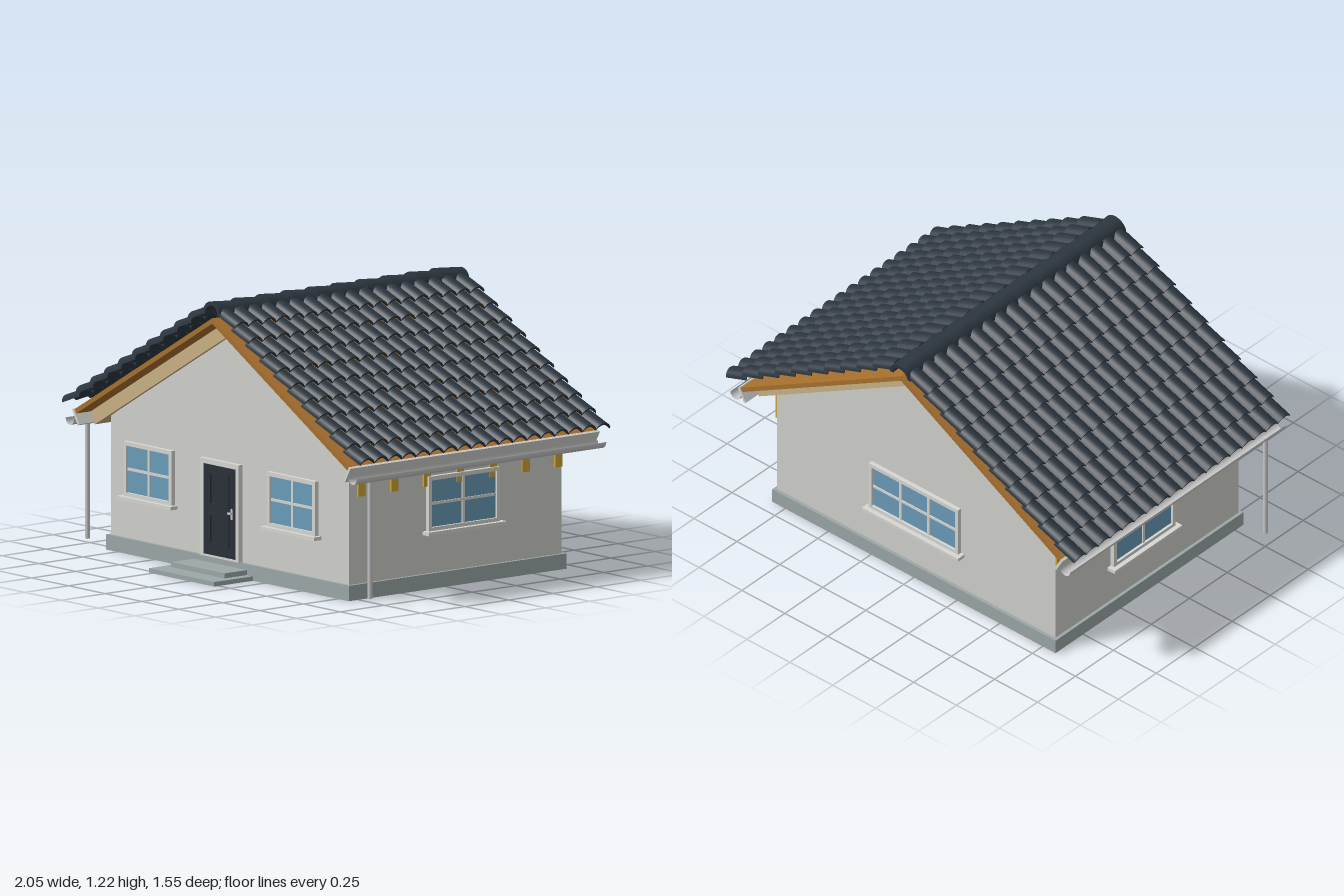
import * as THREE from 'three';
import { toCreasedNormals } from 'three/addons/utils/BufferGeometryUtils.js';

const paint = (name, color, extra = {}) => new THREE.MeshStandardMaterial({ name, color, ...extra });

export function createModel() {
  const mats = {
    wall: paint('plaster', 0xd0d0cb),
    trim: paint('trim', 0xd6d6d2),
    plinth: paint('concrete', 0x9ca7a7),
    tile: paint('roof tile', 0x2b353e),
    deck: paint('brown timber', 0xa8702f),
    board: paint('tan timber', 0xc9b286),
    bracket: paint('yellow timber', 0xcfa535),
    glass: paint('window glass', 0x6a9cb9),
    door: paint('door', 0x2b3139),
    metal: paint('gutter metal', 0xc9c9c9, { side: THREE.DoubleSide }),
  };
  const house = new THREE.Group();
  house.name = 'house';

  const add = (parent, name, geo, mat, x = 0, y = 0, z = 0) => {
    const m = new THREE.Mesh(geo, mat);
    m.name = name;
    m.position.set(x, y, z);
    parent.add(m);
    return m;
  };
  // Box given by its minimum and maximum corners
  const block = (parent, name, mat, x0, x1, y0, y1, z0, z1) =>
    add(parent, name, new THREE.BoxGeometry(x1 - x0, y1 - y0, z1 - z0), mat,
      (x0 + x1) / 2, (y0 + y1) / 2, (z0 + z1) / 2);
  const polygon = (pts) => new THREE.Shape(pts.map(([x, y]) => new THREE.Vector2(x, y)));
  const extrude = (shape, depth) =>
    new THREE.ExtrudeGeometry(shape, { depth, bevelEnabled: false, curveSegments: 16 });

  // Plinth, walls, gable block and entrance steps
  block(house, 'plinth', mats.plinth, -0.825, 0.825, 0, 0.068, -0.683, 0.555);
  block(house, 'walls', mats.wall, -0.81, 0.81, 0.068, 0.614, -0.667, 0.54);
  add(house, 'gables', extrude(polygon([[-0.81, 0.614], [0.81, 0.614], [0, 1.07]]), 1.213),
    mats.wall, 0, 0, -0.67);
  block(house, 'lowerStep', mats.plinth, -0.27, 0.173, 0, 0.02, 0.55, 0.775);
  block(house, 'upperStep', mats.plinth, -0.23, 0.133, 0.02, 0.042, 0.55, 0.682);

  // Frame with a rectangular opening, facing +z
  const frame = (w, h, border, depth, bottom = border) => {
    const [a, b] = [w / 2, h / 2];
    const s = polygon([[-a, -b], [a, -b], [a, b], [-a, b]]);
    s.holes.push(polygon([[border - a, bottom - b], [border - a, b - border],
      [a - border, b - border], [a - border, bottom - b]]));
    return extrude(s, depth);
  };

  // Window with glass, glazing bars and sill
  const addWindow = (name, w, cols, x, z, turn) => {
    const g = new THREE.Group(), h = 0.244;
    g.name = name;
    g.position.set(x, 0.377, z);
    g.rotation.y = turn;
    add(g, 'windowFrame', frame(w, h, 0.018, 0.02), mats.trim);
    block(g, 'glass', mats.glass, -w / 2 + 0.015, w / 2 - 0.015, -0.107, 0.107, 0, 0.008);
    for (let i = 1; i < cols; i++) {
      const bx = (i / cols - 0.5) * (w - 0.03);
      block(g, 'verticalBar', mats.trim, bx - 0.007, bx + 0.007, -0.107, 0.107, 0, 0.014);
    }
    block(g, 'horizontalBar', mats.trim, -w / 2 + 0.015, w / 2 - 0.015, -0.006, 0.006, 0, 0.013);
    block(g, 'sill', mats.trim, -w / 2 - 0.02, w / 2 + 0.02, -0.136, -0.12, 0, 0.042);
    house.add(g);
  };
  addWindow('frontWindowRight', 0.325, 2, -0.538, 0.54, 0);
  addWindow('frontWindowLeft', 0.325, 2, 0.438, 0.54, 0);
  addWindow('sideWindowLeft', 0.405, 2, 0.81, -0.1, Math.PI / 2);
  addWindow('sideWindowRight', 0.405, 2, -0.81, -0.1, -Math.PI / 2);
  addWindow('backWindow', 0.52, 3, 0, -0.667, Math.PI);

  // Door with surround, two raised panels and a handle
  const door = new THREE.Group();
  door.name = 'frontDoor';
  door.position.set(-0.048, 0.284, 0.54);
  add(door, 'doorFrame', frame(0.264, 0.432, 0.022, 0.022, 0.008), mats.trim);
  block(door, 'doorLeaf', mats.door, -0.112, 0.112, -0.21, 0.196, 0, 0.016);
  for (const [y0, y1] of [[-0.165, -0.02], [0.01, 0.165]]) {
    const panel = add(door, 'doorPanel', frame(0.135, y1 - y0, 0.012, 0.006), mats.door, -0.005, (y0 + y1) / 2, 0.015);
    panel.scale.z = 1.2;
  }
  block(door, 'handlePlate', mats.metal, 0.076, 0.088, -0.032, 0.014, 0.016, 0.022);
  block(door, 'handle', mats.metal, 0.062, 0.086, -0.01, -0.002, 0.022, 0.03);
  house.add(door);

  // Roof boards: inverted V with ends cut square to the slope
  const pitch = 0.57, angle = Math.atan(pitch), roofLength = 1.42, roofZ = -0.063;
  const chevron = (top, t, w) => {
    const y = top - pitch * w, ex = w - 0.43 * t, ey = y - 0.755 * t;
    return polygon([[0, top], [-w, y], [-ex, ey], [0, top - t], [ex, ey], [w, y]]);
  };
  add(house, 'roofDeck', extrude(chevron(1.15, 0.024, 0.94), roofLength - 0.01), mats.deck,
    0, 0, roofZ - roofLength / 2 + 0.005);
  add(house, 'roofBoards', extrude(chevron(1.126, 0.07, 0.925), 1.25), mats.board, 0, 0, -0.69);

  // One course of barrel tiles, scalloped along the eave and running down the slope
  const columns = 18, courses = 10, steps = 8, top = [], under = [];
  for (let i = 0; i <= columns * steps; i++) {
    const x = (i / (columns * steps) - 0.5) * roofLength;
    const y = 0.024 * Math.pow(Math.abs(Math.sin(Math.PI * i / steps)), 0.65);
    top.push([x, y + 0.009]);
    under.unshift([x, y]);
  }
  const run = 0.95 / courses;
  const courseGeo = toCreasedNormals(
    extrude(polygon([...top, ...under]), run / Math.cos(angle) + 0.016).rotateY(Math.PI / 2), 0.7);

  // Half ring gutter section
  const gutterGeo = new THREE.CylinderGeometry(0.029, 0.029, roofLength, 16, 1, true, -Math.PI / 2, Math.PI);
  gutterGeo.rotateX(Math.PI / 2);

  // Each roof side: tiles, fascia, gutter and wall brackets
  for (const [name, turn] of [['leftRoofSide', 0], ['rightRoofSide', Math.PI]]) {
    const side = new THREE.Group();
    side.name = name;
    side.position.z = roofZ;
    side.rotation.y = turn;
    for (let i = 0; i < courses; i++) {
      const x = 0.04 + i * run;
      add(side, 'tileCourse', courseGeo, mats.tile, x, 1.19 - pitch * x, 0).rotation.z = -angle + 0.17;
    }
    const fascia = add(side, 'fascia', new THREE.BoxGeometry(0.012, 0.075, roofLength), mats.trim, 0.922, 0.585, 0);
    fascia.rotation.z = -angle;
    add(side, 'gutter', gutterGeo, mats.metal, 0.96, 0.574, 0);
    house.add(side);
  }
  for (const s of [-1, 1]) {
    for (let i = 0; i < 7; i++) {
      add(house, 'wallBracket', new THREE.BoxGeometry(0.012, 0.16, 0.04), mats.bracket,
        s * 0.814, 0.535, 0.476 - i * 0.187);
    }
    add(house, 'downpipe', new THREE.CylinderGeometry(0.011, 0.011, 0.52, 14), mats.metal, s * 0.96, 0.29, 0.548);
  }

  // Overlapping ridge caps, each raised at its front end
  const ring = new THREE.Shape();
  ring.absarc(0, 0, 0.06, 0, Math.PI, false);
  ring.absarc(0, 0, 0.042, Math.PI, 0, true);
  const capGeo = toCreasedNormals(extrude(ring, 0.15), 0.7);
  for (let i = 0; i < 10; i++) {
    add(house, 'ridgeCap', capGeo, mats.tile, 0, 1.153, -0.773 + i * 0.1413).rotation.x = -0.08;
  }
  return house;
}
